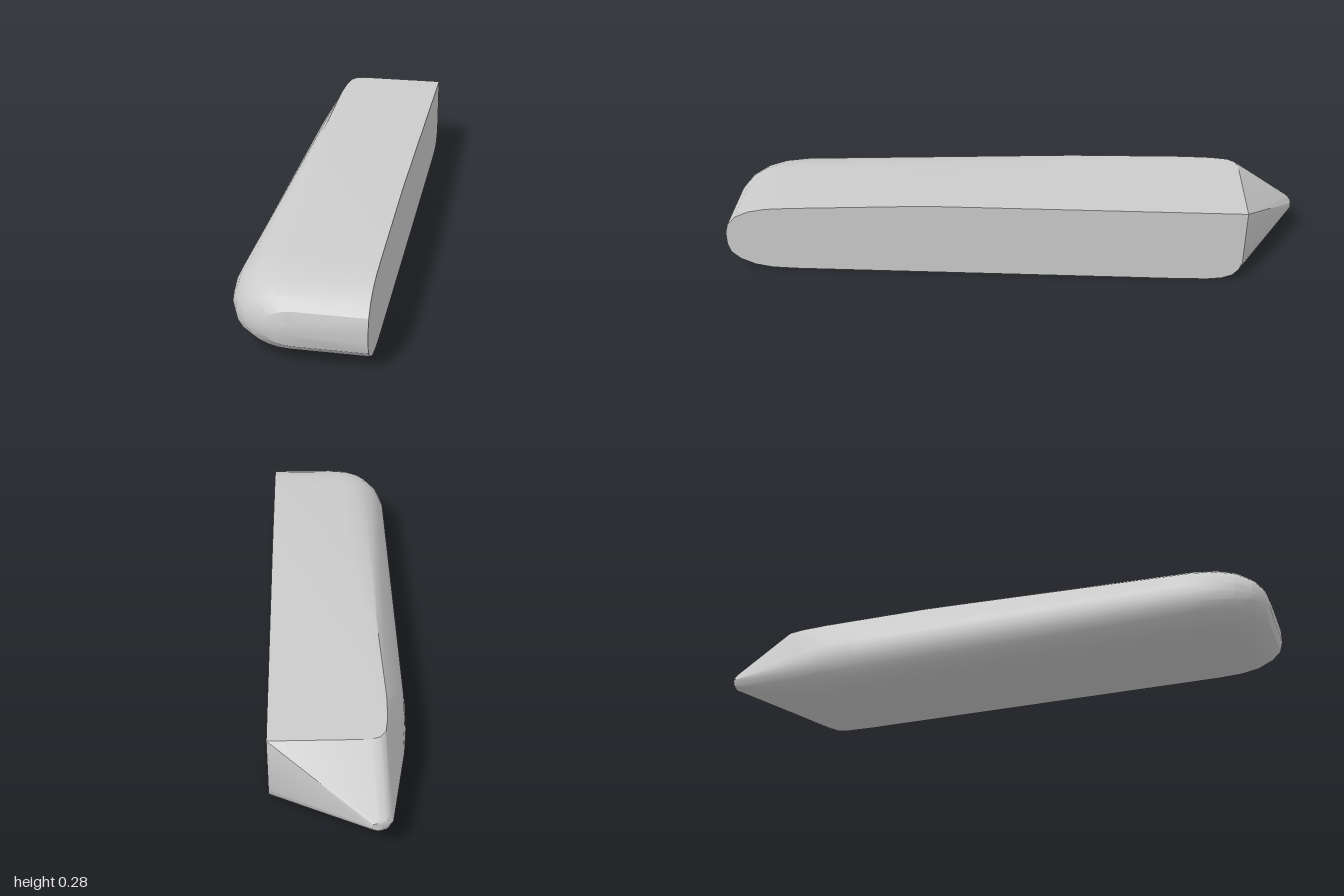
import * as THREE from 'three';
import { ConvexGeometry } from 'three/addons/geometries/ConvexGeometry.js';
import { toCreasedNormals } from 'three/addons/utils/BufferGeometryUtils.js';

const INNER = 0.223; // flat inner wall

// Half-rounded cross-section: flat at the inner wall, elliptical at the outer side
function section(z, left, bottom, top, round) {
  const points = [new THREE.Vector3(INNER, bottom, z), new THREE.Vector3(INNER, top, z)];
  const middle = bottom + (top - bottom) * 0.47;
  const steps = 12;
  for (let i = 0; i <= steps; i++) {
    const a = -Math.PI / 2 + (Math.PI * i) / steps;
    const s = Math.sin(a);
    points.push(new THREE.Vector3(
      left + round * (1 - Math.cos(a)),
      middle + s * (s > 0 ? top - middle : middle - bottom),
      z));
  }
  return points;
}

export function createModel() {
  const points = [];

  // Rounded nose and long body: z, left, bottom, top, rounding
  const rings = [
    [1.0, -0.03, 0.10, 0.145, 0.05],
    [0.99, -0.09, 0.065, 0.18, 0.09],
    [0.96, -0.145, 0.037, 0.212, 0.13],
    [0.91, -0.187, 0.014, 0.235, 0.15],
    [0.85, -0.212, 0.003, 0.247, 0.16],
    [0.77, -0.223, 0, 0.253, 0.16],
    [-0.45, -0.223, 0, 0.26, 0.16],
    [-0.58, -0.217, 0, 0.26, 0.16],
    [-0.68, -0.206, 0.002, 0.24, 0.16],
  ];
  rings.forEach((r) => points.push(...section(...r)));

  // Raised flat deck with a rounded rear corner
  const deck = [
    [INNER, 0.3], [-0.06, 0.3], [-0.14, -0.2], [-0.15, -0.6],
    [-0.147, -0.7], [-0.138, -0.76], [-0.12, -0.785], [-0.09, -0.795], [INNER, -0.795],
  ];
  deck.forEach(([x, z]) => points.push(new THREE.Vector3(x, 0.276, z)));

  // Curved heel at the rear of the inner wall
  [[0.075, -0.795], [0.045, -0.785], [0.022, -0.765], [0.008, -0.73]].forEach(
    ([y, z]) => points.push(new THREE.Vector3(INNER, y, z)));

  // Small blunt tail tip
  const tip = [[-0.975, -0.152, -0.07, 0.08, 0.147], [-0.99, -0.14, -0.075, 0.087, 0.143],
    [-1.0, -0.118, -0.085, 0.1, 0.13]];
  tip.forEach(([z, x0, x1, y0, y1]) => {
    for (let i = 0; i < 8; i++) {
      const a = (i * Math.PI) / 4;
      points.push(new THREE.Vector3(
        (x0 + x1) / 2 + ((x1 - x0) / 2) * Math.cos(a),
        (y0 + y1) / 2 + ((y1 - y0) / 2) * Math.sin(a), z));
    }
  });

  const hull = new THREE.Mesh(
    toCreasedNormals(new ConvexGeometry(points), 0.4),
    new THREE.MeshStandardMaterial({ color: 0xcccccc }));
  hull.name = 'hull';

  const group = new THREE.Group();
  group.name = 'halfHull';
  group.add(hull);
  return group;
}
